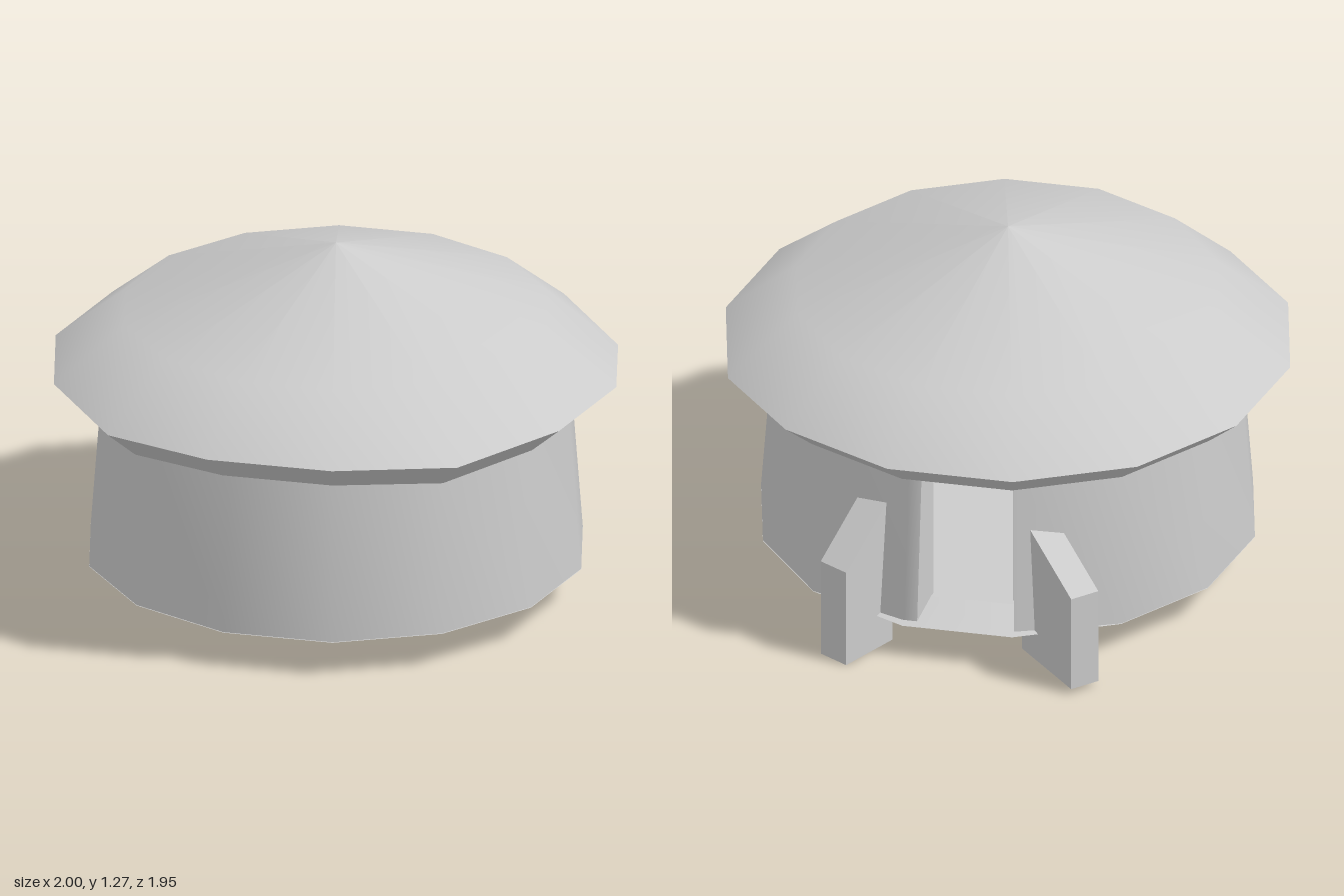
import * as THREE from 'three';

const SIDES = 14;
const mat = new THREE.MeshStandardMaterial({ color: 0xcccccc, side: THREE.DoubleSide });

function add(parent, name, geometry) {
  const mesh = new THREE.Mesh(geometry, mat);
  mesh.name = name;
  parent.add(mesh);
  return mesh;
}

// Ring surface with a corner on the x axis
function ring(profile) {
  const pts = profile.map(([r, y]) => new THREE.Vector2(r, y));
  return new THREE.LatheGeometry(pts, SIDES, Math.PI / 2);
}

// Let a few corners of the eave hang lower
function sag(geometry) {
  const low = [[0.62, 0.78], [-0.62, 0.78], [0.9, -0.43]];
  const p = geometry.attributes.position;
  for (let i = 0; i < p.count; i++) {
    const x = p.getX(i), z = p.getZ(i), r = Math.hypot(x, z);
    if (r < 0.8) continue;
    if (low.some(([a, b]) => Math.hypot(x / r - a, z / r - b) < 0.05)) p.setY(i, p.getY(i) - 0.025);
  }
  return geometry;
}

// Point on the polygon wall; u counts corners, the back lies at u = 3.5
function wallPoint(u, r, y) {
  const i = Math.floor(u), f = u - i;
  const corner = k => {
    const a = k * 2 * Math.PI / SIDES;
    return new THREE.Vector3(r * Math.cos(a), y, Math.max(-r * Math.sin(a), -0.943 * r));
  };
  return corner(i).lerp(corner(i + 1), f);
}

// Smooth surface between two rows of points
function strip(a, b) {
  const n = a.length, index = [];
  for (let i = 0; i < n - 1; i++) index.push(i, i + n, i + 1, i + 1, i + n, i + n + 1);
  const g = new THREE.BufferGeometry().setFromPoints([...a, ...b]);
  g.setIndex(index);
  g.computeVertexNormals();
  return g;
}

// Thick wall section along the listed corners
function wallBand(name, us, y0, yIn, y1) {
  const group = new THREE.Group();
  group.name = name;
  const outer = y => 0.875 - 0.045 * (y - 0.13) / 0.59;
  const rows = [[outer(y0), y0], [outer(y1), y1], [0.715, y1], [0.715, yIn]]
    .map(([r, y]) => us.map(u => wallPoint(u, r, y)));
  ['outerFace', 'topFace', 'innerFace', 'underside'].forEach((part, j) => {
    add(group, part, strip(rows[(j + 1) % 4], rows[j]));
  });
  const last = us.length - 1;
  add(group, 'endFace', strip([rows[0][0], rows[1][0]], [rows[3][0], rows[2][0]]));
  add(group, 'endFace', strip([rows[3][last], rows[2][last]], [rows[0][last], rows[1][last]]));
  return group;
}

// Sloping-topped buttress running outwards from an inner corner
function buttress(name, x, z, dx, dz, width, y0, hIn, hOut) {
  const length = Math.hypot(dx, dz);
  const shape = new THREE.Shape([[0, y0], [length, y0], [length, hOut], [0, hIn]]
    .map(([a, b]) => new THREE.Vector2(a, b)));
  const mesh = new THREE.Mesh(
    new THREE.ExtrudeGeometry(shape, { depth: width, bevelEnabled: false }), mat);
  mesh.name = name;
  mesh.position.set(x, 0, z);
  mesh.rotation.y = Math.atan2(-dz, dx);
  return mesh;
}

export function createModel() {
  const model = new THREE.Group();
  model.name = 'roundHut';

  // Roof: domed top, inward-sloping eave and flat ceiling
  const roof = new THREE.Group();
  roof.name = 'roof';
  add(roof, 'roofTop', sag(ring([[1, 0.825], [0.75, 1.025], [0, 1.27]])));
  add(roof, 'eave', sag(ring([[0.88, 0.722], [1, 0.825]])));
  add(roof, 'ceiling', sag(ring([[0, 0.722], [0.7, 0.722], [0.88, 0.722]])));
  model.add(roof);

  // Wall, open at the back for the doorway
  const corners = [3.12];
  for (let k = 3; k >= -10; k--) corners.push(k);
  corners.push(-9.88);
  model.add(wallBand('wall', corners, 0.132, 0.172, 0.74));
  model.add(wallBand('lintel', [4.12, 4, 3.12], 0.695, 0.695, 0.74));

  // Floor with a sloping threshold around it
  add(model, 'threshold', ring([[0.875, 0.13], [0.715, 0.17]]));
  add(model, 'floor', ring([[0, 0.17], [0.715, 0.17]]));

  // Buttresses either side of the doorway
  model.add(buttress('leftButtress', 0.255, -0.735, 0.12, -0.205, 0.119, 0, 0.59, 0.37));
  model.add(buttress('rightButtress', -0.285, -0.66, -0.225, -0.24, 0.11, 0.02, 0.55, 0.38));

  return model;
}
